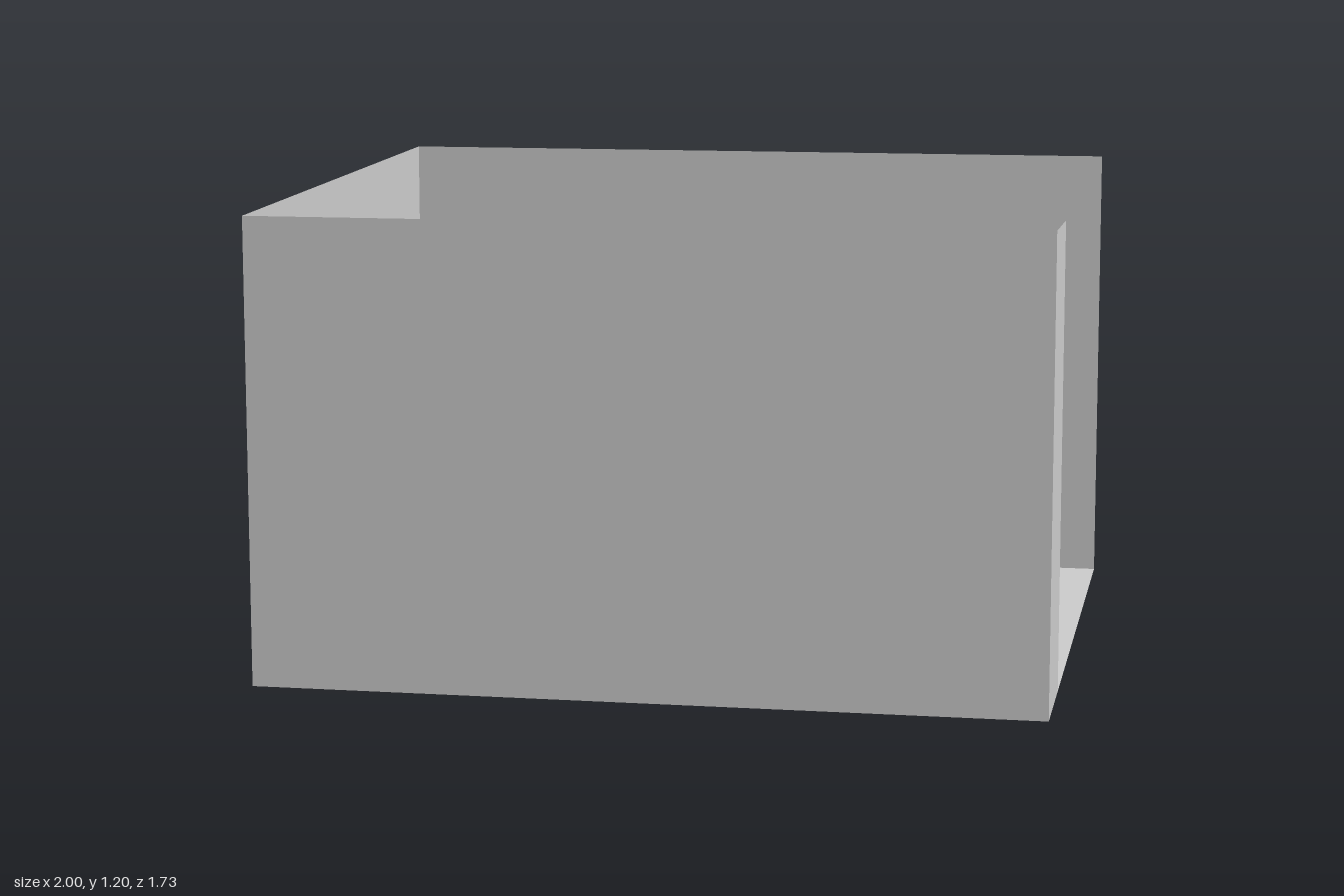
import * as THREE from 'three';
import { toCreasedNormals } from 'three/addons/utils/BufferGeometryUtils.js';

const material = new THREE.MeshStandardMaterial({ color: 0xcccccc, side: THREE.DoubleSide });

function add(parent, name, geometry) {
  const mesh = new THREE.Mesh(geometry, material);
  mesh.name = name;
  parent.add(mesh);
  return mesh;
}

function lathe(points, segments = 40) {
  const profile = points.map(([r, y]) => new THREE.Vector2(r, y));
  return toCreasedNormals(new THREE.LatheGeometry(profile, segments), 0.6);
}

// Thin wall standing on the floor between two plan points, with its own height at each end
function wall([x1, z1, h1], [x2, z2, h2]) {
  const g = new THREE.PlaneGeometry(1, 1);
  const p = g.attributes.position;
  for (let i = 0; i < p.count; i++) {
    const t = p.getX(i) + 0.5;
    const top = p.getY(i) > 0;
    p.setXYZ(i, x1 + (x2 - x1) * t, top ? h1 + (h2 - h1) * t : 0, z1 + (z2 - z1) * t);
  }
  g.computeVertexNormals();
  return g;
}

// Round armchair: bowl base, cushion and a half-ring back; it faces +z before turning
function tubChair() {
  const chair = new THREE.Group();
  chair.name = 'tubChair';
  add(chair, 'bowlBase', lathe([
    [0, 0.002], [0.05, 0.002], [0.068, 0.008], [0.081, 0.022], [0.088, 0.04],
    [0.09, 0.063], [0.083, 0.063], [0, 0.063],
  ]));
  add(chair, 'seatCushion', lathe([
    [0.082, 0.063], [0.082, 0.09], [0.079, 0.097], [0.072, 0.1], [0, 0.1],
  ]));
  const ring = new THREE.Shape();
  ring.absarc(0, 0, 0.09, 0, Math.PI, false);
  ring.absarc(0, 0, 0.082, Math.PI, 0, true);
  const back = new THREE.ExtrudeGeometry(ring, { depth: 0.112, bevelEnabled: false, curveSegments: 24 });
  back.rotateX(-Math.PI / 2).translate(0, 0.063, 0);
  add(chair, 'curvedBack', toCreasedNormals(back, 0.6));
  return chair;
}

// Bar stool: flared foot, thin stem, footrest ring and bucket seat
function barStool() {
  const stool = new THREE.Group();
  stool.name = 'barStool';
  add(stool, 'footAndStem', lathe([
    [0, 0.001], [0.026, 0.001], [0.026, 0.004], [0.012, 0.009], [0.004, 0.022], [0.003, 0.1],
  ], 24));
  const rest = add(stool, 'footrest', new THREE.TorusGeometry(0.021, 0.0015, 8, 28));
  rest.rotation.x = Math.PI / 2;
  rest.position.y = 0.052;
  const spoke = add(stool, 'footrestSpoke', new THREE.BoxGeometry(0.042, 0.002, 0.002));
  spoke.position.y = 0.052;
  add(stool, 'bucketSeat', lathe([
    [0, 0.099], [0.008, 0.101], [0.022, 0.11], [0.03, 0.12], [0.031, 0.158],
    [0.028, 0.158], [0.027, 0.125], [0, 0.125],
  ], 28));
  return stool;
}

export function createModel() {
  const room = new THREE.Group();
  room.name = 'loungeRoom';

  // Room shell, open on the left side apart from a short return wall
  const floor = new THREE.PlaneGeometry(2, 1.73).rotateX(-Math.PI / 2);
  add(room, 'floor', floor);
  const frontLeft = [1, 0.865, 1.195], frontRight = [-1, 0.865, 1.19];
  const backLeft = [1, -0.865, 1.2], backRight = [-1, -0.865, 1.195];
  add(room, 'frontWall', wall(frontRight, frontLeft));
  add(room, 'rightWall', wall(backRight, frontRight));
  add(room, 'backWall', wall(backLeft, backRight));
  add(room, 'returnWall', wall(frontLeft, [1, 0.57, 1.185]));

  // Chairs: x, z, then the facing direction in plan
  const chairs = [
    [-0.135, -0.57, 0.9, 0.44],
    [0.19, -0.635, -0.16, 0.99],
    [-0.235, 0.06, 0.96, -0.27],
    [0.005, 0.31, 0.45, -0.89],
    [0.425, 0.225, -0.92, -0.4],
  ];
  for (const [x, z, dx, dz] of chairs) {
    const chair = tubChair();
    chair.position.set(x, 0, z);
    chair.rotation.y = Math.atan2(dx, dz);
    room.add(chair);
  }

  for (const [x, z] of [[-0.53, -0.313], [-0.507, -0.165]]) {
    const stool = barStool();
    stool.position.set(x, 0, z);
    room.add(stool);
  }
  return room;
}
